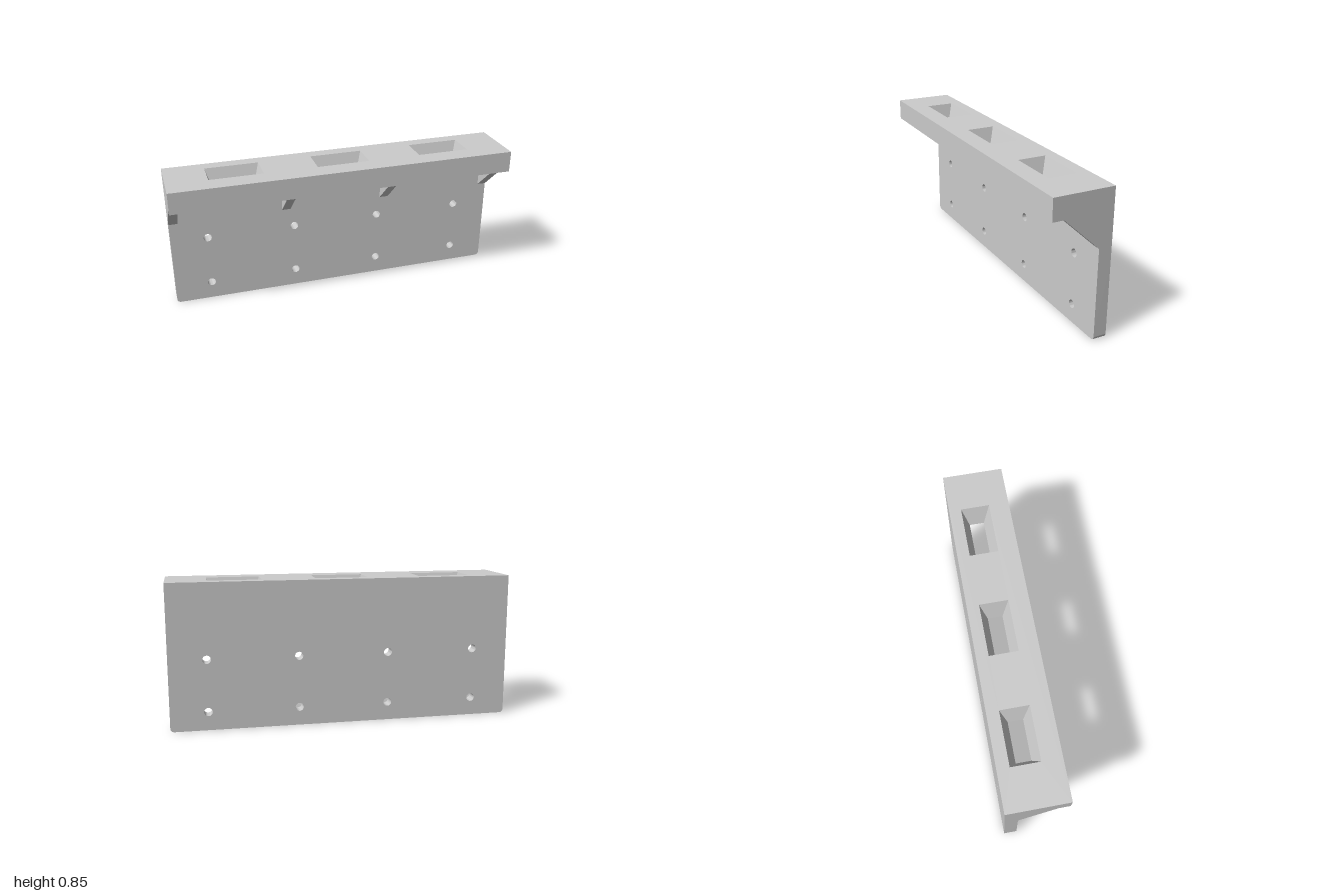
import * as THREE from 'three';
import { toCreasedNormals } from 'three/addons/utils/BufferGeometryUtils.js';

const HEIGHT = 0.845, SHELF_Y = 0.72, BACK = -0.175, PLATE_FRONT = -0.1, FRONT = 0.175;

const material = new THREE.MeshStandardMaterial({ color: 0xcccccc });

function addMesh(group, name, geometry) {
  const mesh = new THREE.Mesh(geometry, material);
  mesh.name = name;
  group.add(mesh);
  return mesh;
}

function rectangle(target, cx, cy, w, h) {
  target.moveTo(cx - w / 2, cy - h / 2);
  target.lineTo(cx + w / 2, cy - h / 2);
  target.lineTo(cx + w / 2, cy + h / 2);
  target.lineTo(cx - w / 2, cy + h / 2);
  target.closePath();
  return target;
}

// Upright plate with rounded bottom corners and two rows of screw holes
function plateGeometry() {
  const r = 0.022;
  const shape = new THREE.Shape();
  shape.moveTo(-1, SHELF_Y);
  shape.lineTo(-1, r);
  shape.absarc(-1 + r, r, r, Math.PI, Math.PI * 1.5);
  shape.lineTo(1 - r, 0);
  shape.absarc(1 - r, r, r, -Math.PI / 2, 0);
  shape.lineTo(1, SHELF_Y);
  shape.closePath();
  for (const x of [-0.785, -0.263, 0.263, 0.785]) {
    for (const y of [0.107, 0.41]) {
      shape.holes.push(new THREE.Path().absarc(x, y, 0.024, 0, Math.PI * 2, true));
    }
  }
  const geometry = new THREE.ExtrudeGeometry(shape, {
    depth: PLATE_FRONT - BACK, bevelEnabled: false, curveSegments: 16,
  });
  geometry.translate(0, 0, BACK);
  return toCreasedNormals(geometry, 0.6);
}

// Shelf with three rectangular openings that narrow towards the underside
function shelfGeometry() {
  const centers = [-0.615, 0, 0.615], holeZ = -0.0225;
  const top = { w: 0.306, d: 0.165 }, bottom = { w: 0.23, d: 0.085 };
  const shape = rectangle(new THREE.Shape(), 0, 0, 2, FRONT - BACK);
  for (const x of centers) shape.holes.push(rectangle(new THREE.Path(), x, -holeZ, top.w, top.d));
  const geometry = new THREE.ExtrudeGeometry(shape, { depth: HEIGHT - SHELF_Y, bevelEnabled: false });
  geometry.rotateX(-Math.PI / 2);

  // Pull the lower corners of each opening towards its centre
  const p = geometry.attributes.position;
  for (let i = 0; i < p.count; i++) {
    if (p.getY(i) > 0.01 || Math.abs(p.getZ(i)) > 0.15) continue;
    const cx = centers.find((c) => Math.abs(c - p.getX(i)) < 0.2);
    p.setX(i, cx + (p.getX(i) - cx) * bottom.w / top.w);
    p.setZ(i, holeZ + (p.getZ(i) - holeZ) * bottom.d / top.d);
  }
  geometry.translate(0, SHELF_Y, 0);
  geometry.computeVertexNormals();
  return geometry;
}

// Triangular rib between plate and shelf
function ribGeometry(width) {
  const shape = new THREE.Shape();
  shape.moveTo(PLATE_FRONT, 0.526);
  shape.lineTo(0.11, SHELF_Y);
  shape.lineTo(PLATE_FRONT, SHELF_Y);
  shape.closePath();
  const geometry = new THREE.ExtrudeGeometry(shape, { depth: width, bevelEnabled: false });
  geometry.translate(0, 0, -width / 2);
  geometry.rotateY(-Math.PI / 2);
  return geometry;
}

export function createModel() {
  const group = new THREE.Group();
  group.name = 'wallBracket';
  addMesh(group, 'backPlate', plateGeometry());
  addMesh(group, 'shelf', shelfGeometry());

  const ribWidth = 0.052, rib = ribGeometry(ribWidth);
  const outer = 1 - ribWidth / 2, inner = 0.308;
  [-outer, -inner, inner, outer].forEach((x, i) => {
    addMesh(group, `rib${i + 1}`, rib).position.x = x;
  });
  return group;
}
